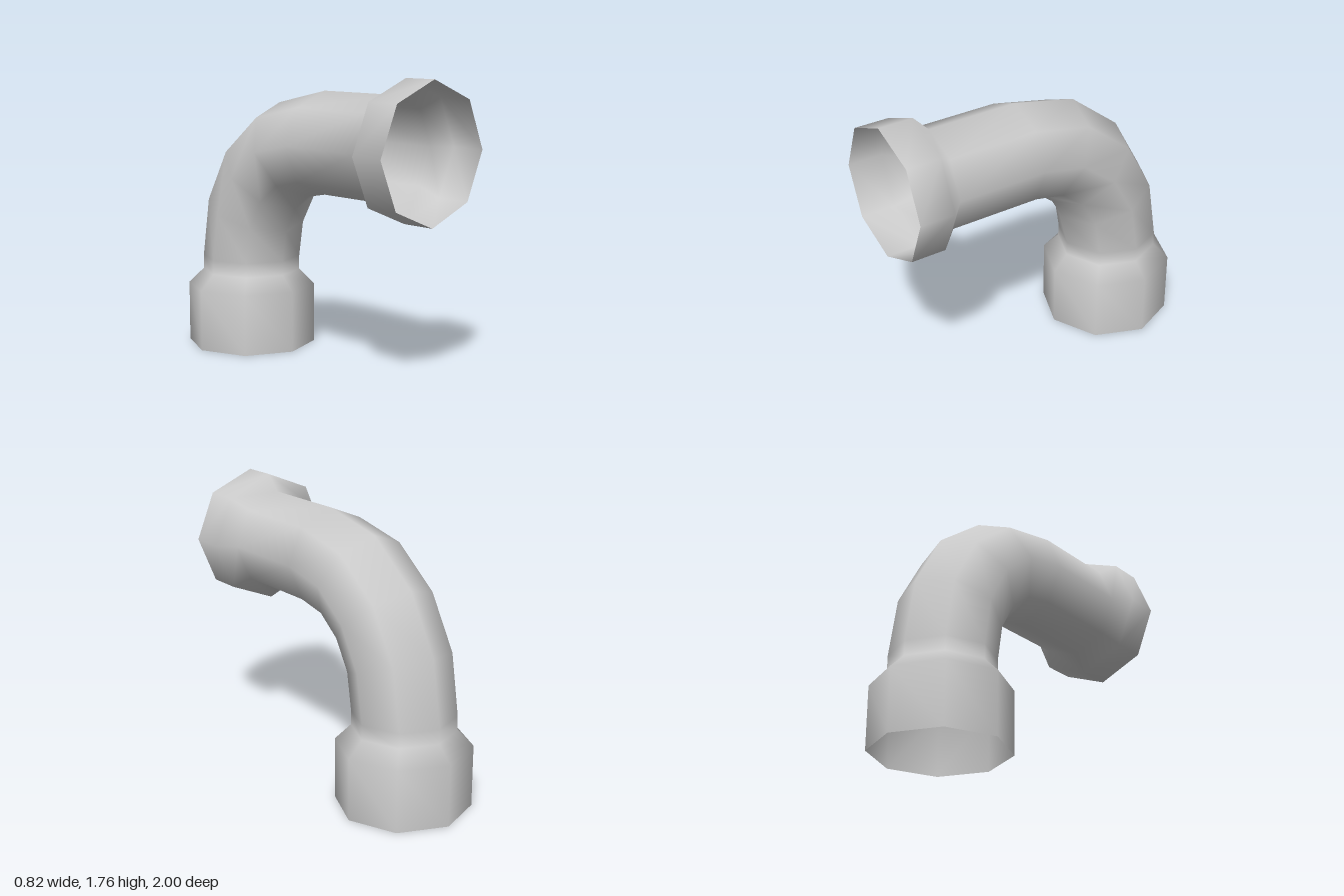
import * as THREE from 'three';

const SIDES = 8;
const PIPE = 0.313, SOCKET = 0.41;

// Rings along the centre line: z, y, tilt of the ring in degrees, radius
const rings = [
  // front socket
  [1, 1.354, 0, SOCKET],
  [0.785, 1.354, 0, SOCKET],
  [0.69, 1.354, 0, PIPE],
  // elbow
  [0.12, 1.354, 0, PIPE],
  [-0.165, 1.295, 25, PIPE],
  [-0.393, 1.12, 50, PIPE],
  [-0.538, 0.87, 71, PIPE],
  [-0.588, 0.57, 90, PIPE],
  // bottom socket
  [-0.588, 0.48, 90, PIPE],
  [-0.59, 0.385, 90, SOCKET],
  [-0.59, 0, 90, SOCKET],
];

// Open tube swept through the rings, with shared vertices for smooth shading
function sweep(rings) {
  const positions = [], index = [];
  rings.forEach(([z, y, tilt, r], i) => {
    const t = THREE.MathUtils.degToRad(tilt);
    for (let j = 0; j < SIDES; j++) {
      const a = (j / SIDES) * Math.PI * 2;
      const out = r * Math.cos(a);
      positions.push(r * Math.sin(a), y + out * Math.cos(t), z - out * Math.sin(t));
      if (i === 0) continue;
      const k = (j + 1) % SIDES, p = (i - 1) * SIDES, q = i * SIDES;
      index.push(p + j, p + k, q + j, p + k, q + k, q + j);
    }
  });
  const geometry = new THREE.BufferGeometry();
  geometry.setAttribute('position', new THREE.Float32BufferAttribute(positions, 3));
  geometry.setIndex(index);
  geometry.computeVertexNormals();
  return geometry;
}

export function createModel() {
  const group = new THREE.Group();
  group.name = 'pipeElbow';
  const material = new THREE.MeshStandardMaterial({ color: 0xcccccc, side: THREE.DoubleSide });
  const pipe = new THREE.Mesh(sweep(rings), material);
  pipe.name = 'elbowPipeWithSockets';
  group.add(pipe);
  return group;
}
